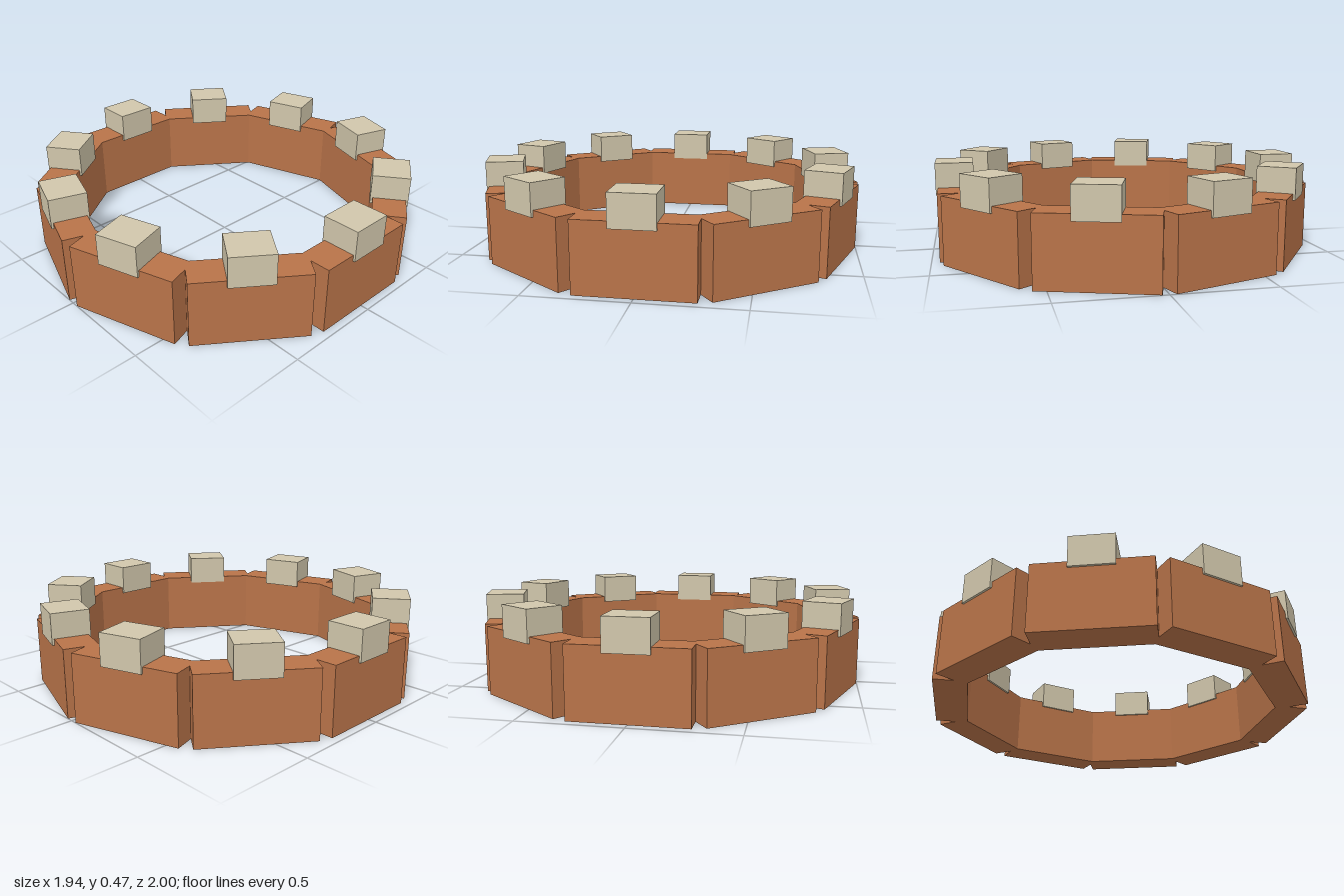
import * as THREE from 'three';

const SEGMENTS = 10;

export function createModel() {
  const model = new THREE.Group();
  model.name = 'battlementRing';

  const brick = new THREE.MeshStandardMaterial({ color: 0xb87349, flatShading: true });
  const stone = new THREE.MeshStandardMaterial({ color: 0xd0c6ab, flatShading: true });

  // radial depth, height, tangential width
  const wallGeometry = new THREE.BoxGeometry(0.168, 0.342, 0.556);
  const merlonGeometry = new THREE.BoxGeometry(0.19, 0.158, 0.214);

  for (let i = 0; i < SEGMENTS; i++) {
    const section = new THREE.Group();
    section.name = `ringSection${i + 1}`;
    section.rotation.y = (i / SEGMENTS) * Math.PI * 2;

    // Straight brick wall panel
    const wall = new THREE.Mesh(wallGeometry, brick);
    wall.name = 'wallPanel';
    wall.position.set(0.876, 0.171, 0);

    // Stone merlon, sunk slightly into the wall top
    const merlon = new THREE.Mesh(merlonGeometry, stone);
    merlon.name = 'merlon';
    merlon.position.set(0.876, 0.389, 0);

    section.add(wall, merlon);
    model.add(section);
  }
  return model;
}
